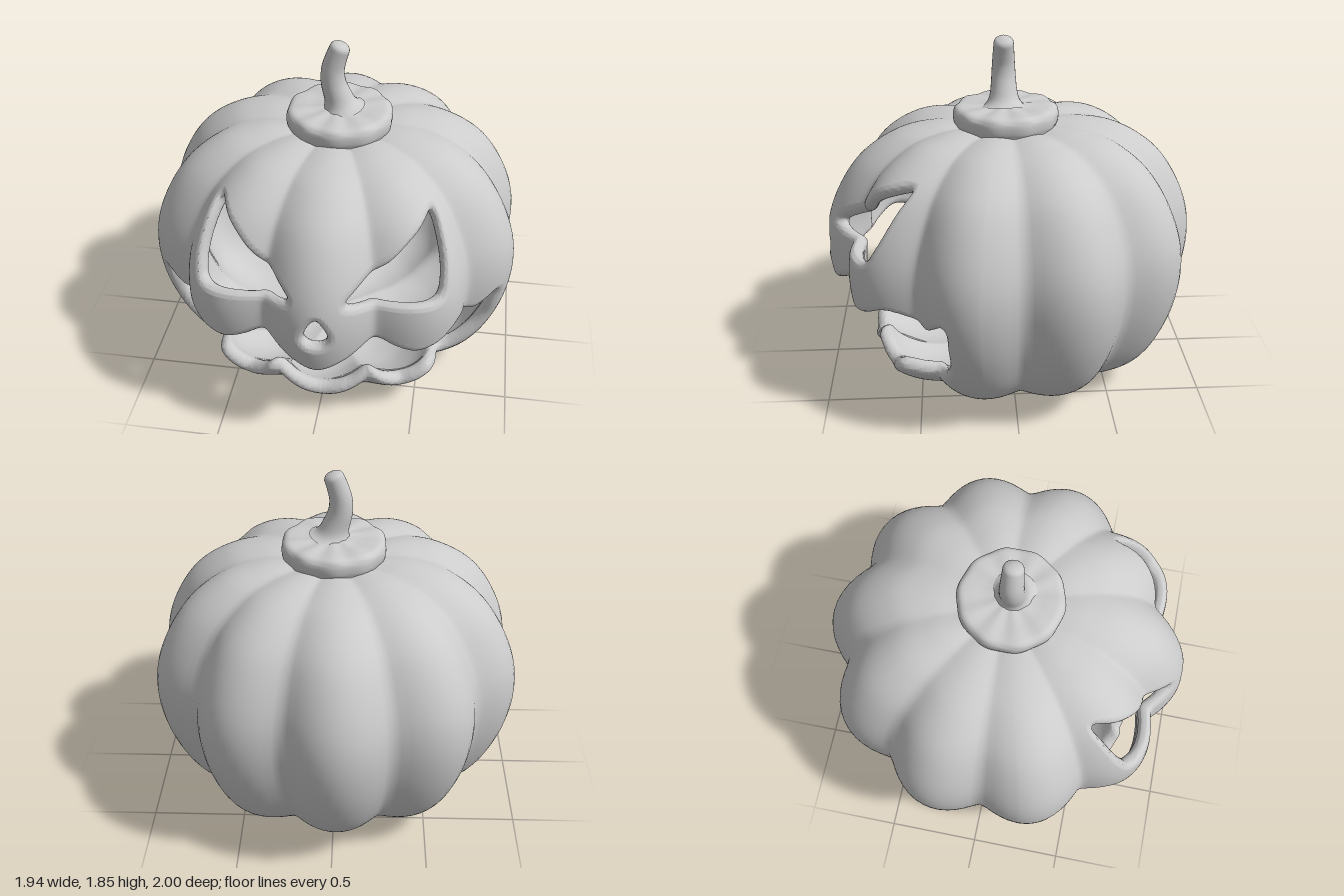
import * as THREE from 'three';
import { mergeVertices } from 'three/addons/utils/BufferGeometryUtils.js';

const V2 = (x, y) => new THREE.Vector2(x, y);
const WALL = 0.08, RIM = WALL / 2, LOBES = 10, GROOVE = 0.1, CREASE = 0.016;

// Ridge profile of the shell (radius, height), bottom to top
const profile = new THREE.SplineCurve([
  [0, 0.025], [0.1, 0.022], [0.25, 0.008], [0.42, 0.008], [0.62, 0.06], [0.82, 0.2], [0.95, 0.45],
  [1, 0.72], [0.96, 0.96], [0.82, 1.2], [0.62, 1.345], [0.42, 1.397], [0.25, 1.4], [0.1, 1.385], [0, 1.38],
].map(p => V2(...p)));
const N = 300, LENGTH = profile.getLength();
profile.arcLengthDivisions = 600;
profile.updateArcLengths();
const table = profile.getSpacedPoints(N);
const normals = table.map((p, i) => {
  const a = table[Math.max(0, i - 1)], b = table[Math.min(N, i + 1)];
  return V2(b.y - a.y, a.x - b.x).normalize();
});

// Point on the ribbed shell at angle a (0 = front), profile position t, depth below the skin
function shellPoint(a, t, depth) {
  const f = Math.min(t, 0.99999) * N, i = Math.floor(f), k = f - i;
  const mix = (list, key) => list[i][key] * (1 - k) + list[i + 1][key] * k;
  const r = mix(table, 'x');
  const valley = 1 - Math.sqrt((Math.cos(a * LOBES / 2) ** 2 + 0.012) / 1.012);
  const off = depth + CREASE * valley * Math.min(1, r / 0.3);
  const rad = Math.max(0, r * (1 - GROOVE * valley) - mix(normals, 'x') * off);
  return [rad * Math.sin(a), mix(table, 'y') - mix(normals, 'y') * off, rad * Math.cos(a)];
}

// Front-facing x, y to unrolled skin coordinates
const ARC = 0.92;
function unroll([x, y]) {
  let best = Infinity, out;
  for (let t = 0.15; t < 0.85; t += 0.002) {
    for (let a = 0; a < 1.25; a += 0.005) {
      const p = shellPoint(a, t, RIM), e = (p[0] - x) ** 2 + (p[1] - y) ** 2;
      if (e < best) { best = e; out = V2(a * ARC, t * LENGTH); }
    }
  }
  return out;
}
function outline(points, mirrored, samples) {
  const half = points.map(unroll);
  // mirrored outlines begin and end on the centre line
  const all = mirrored ? [...half, ...half.slice(1, -1).reverse().map(p => V2(-p.x, p.y))] : half;
  return new THREE.CatmullRomCurve3(all.map(p => new THREE.Vector3(p.x, p.y, 0)), true, 'centripetal')
    .getPoints(samples);
}

// Signed distance to an outline, negative inside
function distance(poly, x, y) {
  let best = Infinity, inside = false;
  for (let i = 0, j = poly.length - 1; i < poly.length; j = i++) {
    const a = poly[j], b = poly[i], dx = b.x - a.x, dy = b.y - a.y;
    const k = Math.max(0, Math.min(1, ((x - a.x) * dx + (y - a.y) * dy) / (dx * dx + dy * dy + 1e-12)));
    best = Math.min(best, (x - a.x - k * dx) ** 2 + (y - a.y - k * dy) ** 2);
    if ((a.y > y) !== (b.y > y) && x < a.x + (y - a.y) / dy * dx) inside = !inside;
  }
  return Math.sqrt(best) * (inside ? -1 : 1);
}

// Keeps the part of a polygon of [a, t, d] where d is above (sign 1) or below (sign -1) a level
function clip(poly, level, sign) {
  const out = [];
  poly.forEach((p, i) => {
    const q = poly[(i + 1) % poly.length];
    const dp = (p[2] - level) * sign, dq = (q[2] - level) * sign;
    if (dp >= 0) out.push(p);
    if (dp * dq < 0) {
      const k = dp / (dp - dq);
      out.push([p[0] + (q[0] - p[0]) * k, p[1] + (q[1] - p[1]) * k, level]);
    }
  });
  return out;
}

function carvedShell() {
  const mouth = outline([
    [0, 0.52], [0.14, 0.578], [0.27, 0.655], [0.37, 0.61], [0.465, 0.578], [0.56, 0.6], [0.65, 0.65],
    [0.74, 0.59], [0.8, 0.62], [0.85, 0.66], [0.86, 0.63], [0.845, 0.54], [0.815, 0.44], [0.75, 0.345],
    [0.62, 0.255], [0.55, 0.285], [0.48, 0.24], [0.41, 0.21], [0.33, 0.25], [0.255, 0.31], [0.13, 0.23], [0, 0.185],
  ], true, 200);
  const eye = outline([
    [0.505, 1.215], [0.555, 1.12], [0.585, 0.95], [0.57, 0.885], [0.4, 0.875], [0.21, 0.88],
    [0.14, 0.915], [0.19, 0.965], [0.31, 1.05], [0.43, 1.155],
  ], false, 70);
  const nose = outline([[0, 0.845], [0.04, 0.8], [0.058, 0.745], [0.04, 0.712], [0, 0.703]], true, 40);
  const hole = (a, t) => {
    if (Math.abs(a) > 1.5) return 1;
    const u = a * ARC, s = t * LENGTH;
    return Math.min(distance(mouth, u, s), distance(eye, Math.abs(u), s), distance(nose, u, s));
  };

  // Grid, finer over the carved face
  const FRONT = 164, BACK = 80, ROWS = 112, SPAN = 1.35;
  const angles = [];
  for (let i = 0; i < FRONT; i++) angles.push(-SPAN + 2 * SPAN * i / FRONT);
  for (let i = 0; i <= BACK; i++) angles.push(SPAN + (2 * Math.PI - 2 * SPAN) * i / BACK);
  const grid = [];
  for (let j = 0; j <= ROWS; j++) {
    const k = j / ROWS, t = k + 0.05 * Math.sin(2 * Math.PI * k);
    grid.push(angles.map(a => [a, t, hole(a, t)]));
  }

  // Skin and inner wall curl together into a rounded rim where d reaches 0
  const pos = [];
  const inset = d => d >= RIM ? 0 : RIM - Math.sqrt(RIM * RIM - (RIM - d) ** 2);
  const emit = poly => {
    const outer = poly.map(([a, t, d]) => shellPoint(a, t, inset(d)));
    const inner = poly.map(([a, t, d]) => shellPoint(a, t, WALL - inset(d)));
    for (let i = 1; i + 1 < poly.length; i++) {
      pos.push(...outer[0], ...outer[i], ...outer[i + 1], ...inner[0], ...inner[i + 1], ...inner[i]);
    }
  };
  const levels = [0, 0.004, 0.016, RIM];
  const addTriangle = tri => {
    if (tri.every(p => p[2] >= RIM)) return emit(tri);
    levels.forEach((level, i) => {
      let part = clip(tri, level, 1);
      if (i + 1 < levels.length) part = clip(part, levels[i + 1], -1);
      if (part.length > 2) emit(part);
    });
  };
  for (let j = 0; j < ROWS; j++) {
    for (let i = 0; i + 1 < angles.length; i++) {
      const a = grid[j][i], b = grid[j][i + 1], c = grid[j + 1][i + 1], d = grid[j + 1][i];
      addTriangle([a, b, c]);
      addTriangle([a, c, d]);
    }
  }
  return smooth(new THREE.BufferGeometry().setAttribute('position', new THREE.Float32BufferAttribute(pos, 3)));
}

function smooth(geometry) {
  geometry.deleteAttribute('uv');
  geometry.deleteAttribute('normal');
  const merged = mergeVertices(geometry, 1e-4);
  merged.computeVertexNormals();
  return merged;
}

// Ten-sided cap with soft edges and shallow grooves on top
function capGeometry() {
  const curve = new THREE.SplineCurve([
    [0, 1.36], [0.24, 1.37], [0.268, 1.395], [0.276, 1.43], [0.272, 1.465], [0.25, 1.488], [0.2, 1.493], [0.12, 1.494], [0, 1.51],
  ].map(p => V2(...p)));
  const geo = new THREE.LatheGeometry(curve.getPoints(40), 80);
  const p = geo.attributes.position;
  for (let i = 0; i < p.count; i++) {
    const x = p.getX(i), z = p.getZ(i), r = Math.hypot(x, z);
    const wave = Math.cos(Math.atan2(x, z) * LOBES) * Math.min(1, r / 0.2);
    const top = p.getY(i) > 1.47 ? 0.004 : 0;
    p.setXYZ(i, x * (1 + 0.012 * wave), p.getY(i) + top * wave, z * (1 + 0.012 * wave));
  }
  return smooth(geo);
}

// Bent stem: a tube narrowed ring by ring, closing in a rounded tip
function stemGeometry() {
  const path = new THREE.CatmullRomCurve3([
    [0.02, 1.48], [0.005, 1.54], [-0.022, 1.63], [-0.025, 1.7], [-0.008, 1.77], [0.022, 1.852],
  ].map(([x, y]) => new THREE.Vector3(x, y, 0.01)));
  const RINGS = 40, SIDES = 24;
  const geo = new THREE.TubeGeometry(path, RINGS, 1, SIDES);
  const p = geo.attributes.position, v = new THREE.Vector3();
  for (let i = 0; i < p.count; i++) {
    const k = Math.floor(i / (SIDES + 1)) / RINGS, c = path.getPointAt(k);
    const tip = Math.sqrt(Math.max(0, 1 - Math.max(0, (k - 0.92) / 0.08) ** 2));
    const radius = (0.074 - 0.024 * k + 0.05 * Math.exp(-k * 14)) * tip;
    v.fromBufferAttribute(p, i).sub(c).multiplyScalar(radius).add(c);
    p.setXYZ(i, v.x, v.y, v.z);
  }
  return smooth(geo);
}

export function createModel() {
  const group = new THREE.Group();
  const material = new THREE.MeshStandardMaterial({ color: 0xcccccc });
  const add = (name, geometry) => {
    const mesh = new THREE.Mesh(geometry, material);
    mesh.name = name;
    group.add(mesh);
    return mesh;
  };
  add('carvedShell', carvedShell()).rotation.y = 0.03;
  add('stemCap', capGeometry()).position.set(0.01, 0, 0.02);
  add('stem', stemGeometry()).position.z = 0.02;
  return group;
}
